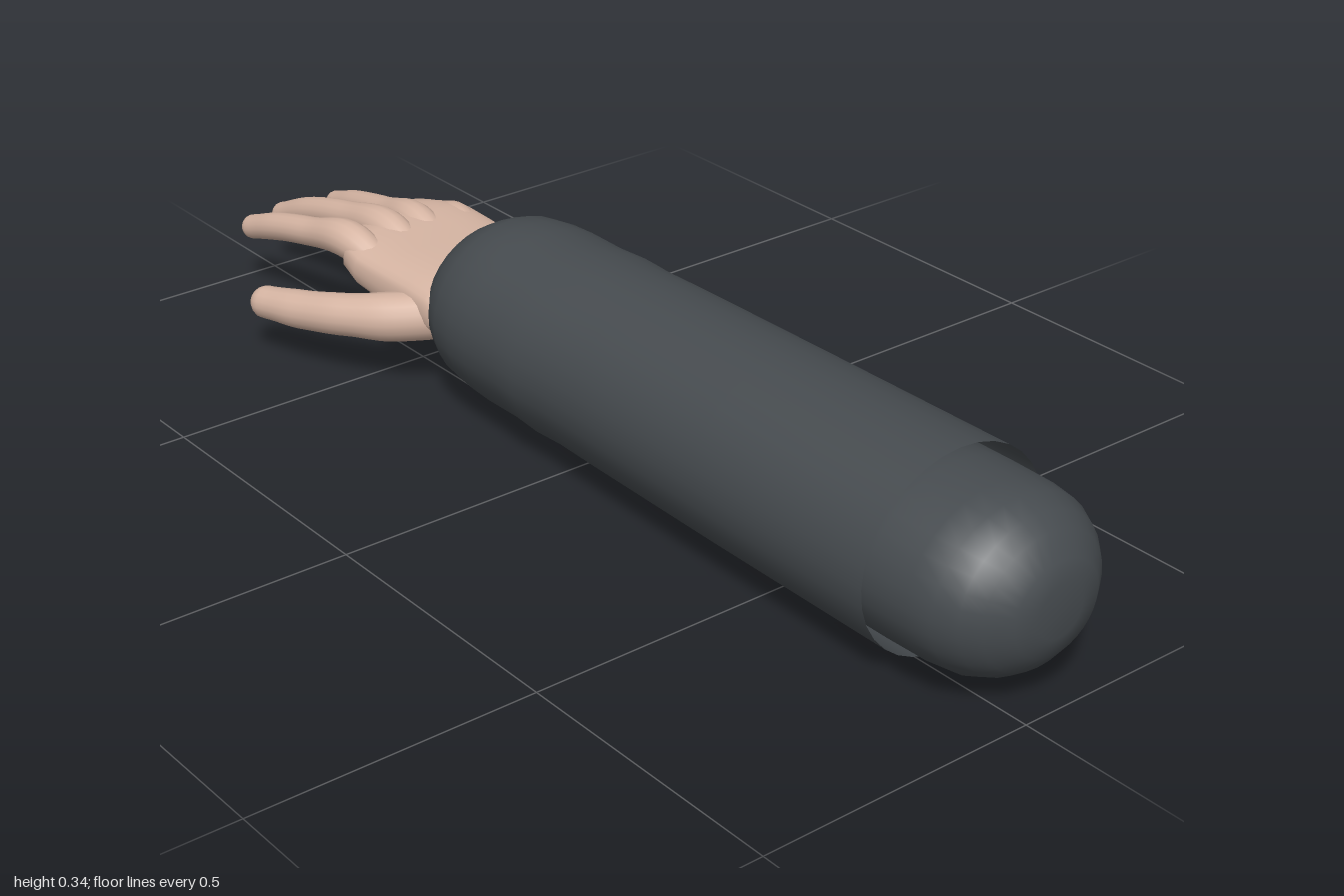
import * as THREE from 'three';

const UP = new THREE.Vector3(0, 1, 0);

// Sweep rounded cross-sections [x, y, z, halfWidth, halfHeight] along their centres.
// power < 1 makes the section boxier; the start may be left open.
function sweep(rows, { sides = 24, power = 1, capStart = true } = {}) {
  const centres = rows.map(r => new THREE.Vector3(r[0], r[1], r[2]));
  const pos = [], index = [], n = rows.length;
  rows.forEach((r, i) => {
    const t = centres[Math.min(i + 1, n - 1)].clone().sub(centres[Math.max(i - 1, 0)]).normalize();
    const side = new THREE.Vector3().crossVectors(t, UP).normalize();
    const up = new THREE.Vector3().crossVectors(side, t);
    for (let k = 0; k < sides; k++) {
      const a = k / sides * Math.PI * 2, c = Math.cos(a), s = Math.sin(a);
      const p = centres[i].clone()
        .addScaledVector(side, Math.sign(c) * Math.abs(c) ** power * r[3])
        .addScaledVector(up, Math.sign(s) * Math.abs(s) ** power * r[4]);
      pos.push(p.x, p.y, p.z);
    }
  });
  for (let i = 0; i < n - 1; i++) {
    for (let k = 0; k < sides; k++) {
      const a = i * sides + k, b = i * sides + (k + 1) % sides;
      index.push(a, a + sides, b, b, a + sides, b + sides);
    }
  }
  const fan = (row, flip) => {
    const c = pos.length / 3;
    pos.push(...centres[row].toArray());
    for (let k = 0; k < sides; k++) {
      const a = row * sides + k, b = row * sides + (k + 1) % sides;
      index.push(c, flip ? b : a, flip ? a : b);
    }
  };
  if (capStart) fan(0, false);
  fan(n - 1, true);
  const g = new THREE.BufferGeometry();
  g.setAttribute('position', new THREE.Float32BufferAttribute(pos, 3));
  g.setIndex(index);
  g.computeVertexNormals();
  return g;
}

// A finger: smooth path through points [x, y, z, radius] with a round tip
function digit(points) {
  const curve = new THREE.CatmullRomCurve3(points.map(p => new THREE.Vector3(p[0], p[1], p[2])));
  const rows = [], steps = 24, last = points.length - 1;
  for (let i = 0; i <= steps; i++) {
    const u = i / steps, f = u * last, j = Math.min(Math.floor(f), last - 1);
    const r = THREE.MathUtils.lerp(points[j][3], points[j + 1][3], THREE.MathUtils.smoothstep(f - j, 0, 1));
    rows.push([...curve.getPoint(u).toArray(), r, r]);
  }
  const end = curve.getPoint(1), dir = curve.getTangent(1), r = points[last][3];
  for (let i = 1; i <= 5; i++) {
    const a = i / 5 * 1.45;
    const p = end.clone().addScaledVector(dir, Math.sin(a) * r);
    rows.push([...p.toArray(), Math.cos(a) * r, Math.cos(a) * r]);
  }
  return sweep(rows, { sides: 16 });
}

export function createModel() {
  const model = new THREE.Group();
  model.name = 'arm';
  const cloth = new THREE.MeshStandardMaterial({ color: 0x464b4f, side: THREE.DoubleSide });
  cloth.name = 'charcoal cloth';
  const skin = new THREE.MeshStandardMaterial({ color: 0xd6b5a3 });
  skin.name = 'skin';
  const add = (name, geometry, material, parent = model) => {
    const mesh = new THREE.Mesh(geometry, material);
    mesh.name = name;
    parent.add(mesh);
  };

  // Forearm sleeve: open at the elbow, rounded over the wrist
  add('sleeve', sweep([
    [0.054, 0.173, 0.785, 0.185, 0.171],
    [0.054, 0.173, 0.4, 0.183, 0.169],
    [0.054, 0.174, 0.1, 0.180, 0.166],
    [0.054, 0.174, 0.0, 0.178, 0.164],
    [0.054, 0.174, -0.06, 0.182, 0.165],
    [0.054, 0.174, -0.12, 0.178, 0.162],
    [0.054, 0.174, -0.2, 0.178, 0.163],
    [0.054, 0.174, -0.25, 0.175, 0.161],
    [0.053, 0.175, -0.30, 0.167, 0.155],
    [0.053, 0.178, -0.34, 0.150, 0.139],
    [0.052, 0.182, -0.375, 0.126, 0.116],
    [0.051, 0.186, -0.405, 0.092, 0.085],
    [0.050, 0.190, -0.423, 0.055, 0.048],
    [0.050, 0.190, -0.43, 0.018, 0.015],
  ], { sides: 32, capStart: false }), cloth);

  // Rounded elbow end nested inside the sleeve
  add('elbowCap', sweep([
    [0.054, 0.172, 1.0, 0.045, 0.045],
    [0.054, 0.172, 0.992, 0.085, 0.078],
    [0.054, 0.172, 0.965, 0.122, 0.112],
    [0.054, 0.172, 0.94, 0.145, 0.130],
    [0.054, 0.172, 0.905, 0.164, 0.144],
    [0.054, 0.172, 0.86, 0.172, 0.148],
    [0.054, 0.172, 0.78, 0.174, 0.149],
    [0.054, 0.172, 0.6, 0.173, 0.149],
  ], { sides: 32 }), cloth);

  // Hand
  const hand = new THREE.Group();
  hand.name = 'hand';
  model.add(hand);
  add('palm', sweep([
    [0.055, 0.168, -0.30, 0.130, 0.036],
    [0.055, 0.168, -0.33, 0.150, 0.048],
    [0.056, 0.168, -0.36, 0.153, 0.053],
    [0.056, 0.168, -0.42, 0.150, 0.053],
    [0.056, 0.168, -0.50, 0.150, 0.051],
    [0.057, 0.172, -0.57, 0.152, 0.046],
    [0.057, 0.182, -0.62, 0.147, 0.038],
    [0.053, 0.187, -0.65, 0.130, 0.030],
    [0.045, 0.188, -0.68, 0.105, 0.023],
    [0.030, 0.187, -0.71, 0.070, 0.012],
  ], { sides: 32, power: 0.65 }), skin, hand);

  const fingers = {
    indexFinger: [[-0.045, 0.172, -0.54, 0.028], [-0.056, 0.199, -0.64, 0.035],
      [-0.066, 0.180, -0.75, 0.027], [-0.075, 0.158, -0.85, 0.026], [-0.082, 0.132, -0.930, 0.023]],
    middleFinger: [[0.026, 0.174, -0.54, 0.028], [0.024, 0.201, -0.64, 0.035],
      [0.021, 0.184, -0.76, 0.028], [0.017, 0.155, -0.88, 0.026], [0.013, 0.117, -0.978, 0.022]],
    ringFinger: [[0.083, 0.172, -0.54, 0.028], [0.088, 0.199, -0.64, 0.033],
      [0.097, 0.178, -0.75, 0.026], [0.106, 0.152, -0.86, 0.025], [0.113, 0.126, -0.943, 0.022]],
    littleFinger: [[0.150, 0.170, -0.53, 0.028], [0.168, 0.186, -0.62, 0.030],
      [0.181, 0.165, -0.71, 0.023], [0.192, 0.143, -0.78, 0.022], [0.203, 0.120, -0.836, 0.019]],
    thumb: [[-0.040, 0.155, -0.36, 0.045], [-0.105, 0.138, -0.435, 0.044],
      [-0.153, 0.128, -0.51, 0.038], [-0.187, 0.114, -0.60, 0.035], [-0.211, 0.105, -0.682, 0.030]],
  };
  for (const [name, points] of Object.entries(fingers)) add(name, digit(points), skin, hand);

  return model;
}
